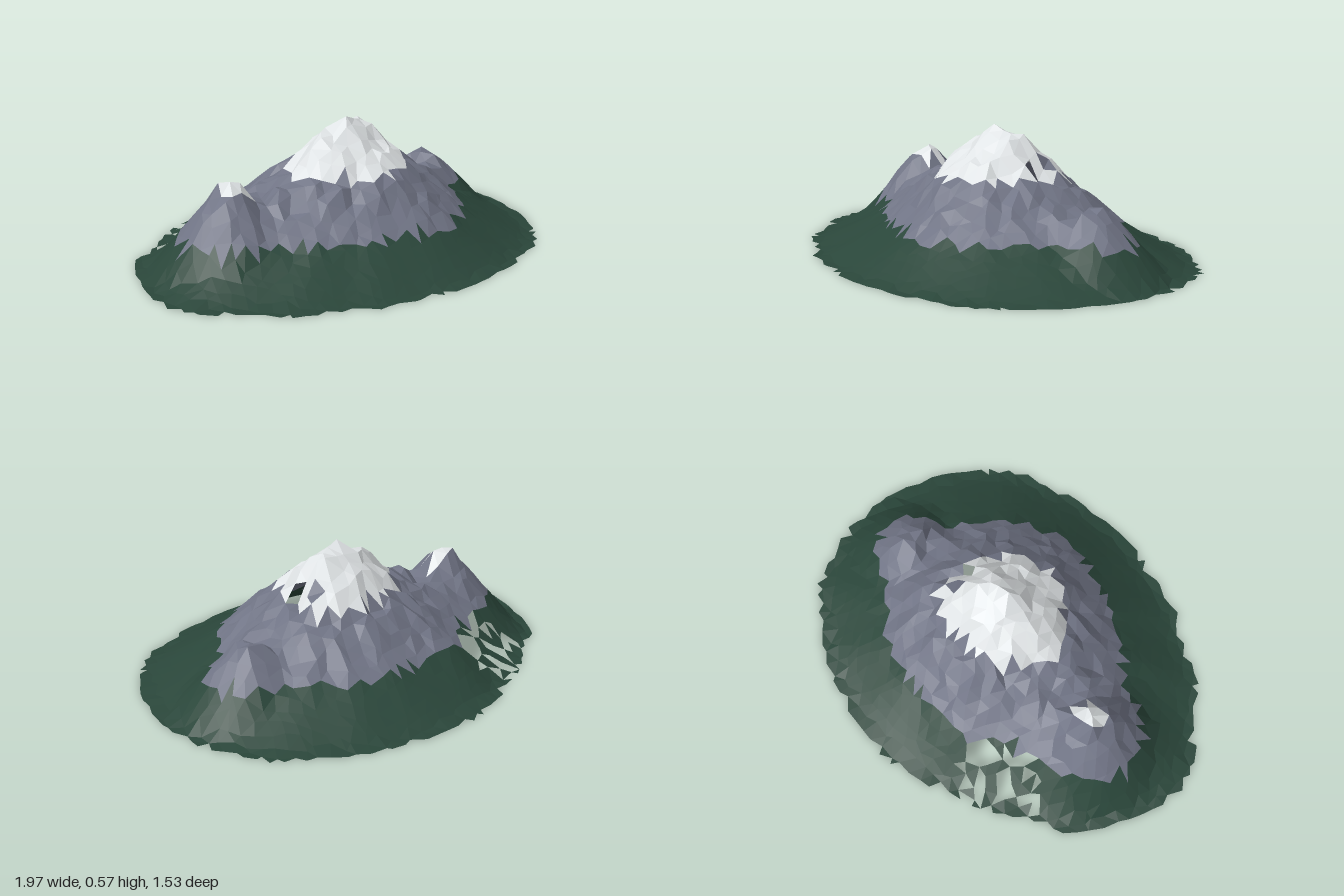
import * as THREE from 'three';

// Contour radii around the summit axis, 16 directions from +x turning toward +z
const CX = 0.1;
const BASE = [0.88, 0.86, 0.83, 0.77, 0.75, 0.75, 0.81, 0.93, 1.07, 0.99, 0.83, 0.76, 0.76, 0.765, 0.81, 0.87];
const TREE = [0.67, 0.52, 0.5, 0.49, 0.49, 0.48, 0.5, 0.58, 0.77, 0.76, 0.56, 0.55, 0.48, 0.49, 0.51, 0.55];
const SNOW = [0.28, 0.26, 0.24, 0.26, 0.27, 0.27, 0.27, 0.31, 0.33, 0.29, 0.26, 0.25, 0.23, 0.25, 0.25, 0.26];
const TREE_Y = 0.15, SNOW_Y = 0.357, TOP_Y = 0.572;
const TOE = 0.03;

// Repeatable random numbers
function makeRandom(seed) {
  return () => {
    seed = (seed * 1664525 + 1013904223) >>> 0;
    return seed / 4294967296;
  };
}

// Smooth lookup of a contour radius by angle
function radiusAt(table, angle) {
  const n = table.length;
  const a = ((angle / (Math.PI * 2)) * n + n) % n;
  const i = Math.floor(a) % n;
  const f = a - Math.floor(a);
  return THREE.MathUtils.lerp(table[i], table[(i + 1) % n], f * f * (3 - 2 * f));
}

const bump = (x, z, cx, cz, size) => Math.exp(-((x - cx) ** 2 + (z - cz) ** 2) / (size * size));
const near = (x, z, cx, cz, radius) => Math.hypot(x - cx, z - cz) < radius;

// Height of the terrain
function heightAt(x, z) {
  const angle = Math.atan2(z, x - CX);
  const r = Math.hypot(x - CX, z);
  const r0 = radiusAt(BASE, angle) - TOE, r1 = radiusAt(TREE, angle), r2 = radiusAt(SNOW, angle);
  let y;
  if (r >= r0) return 0;
  if (r > r1) y = TREE_Y * Math.pow((r0 - r) / (r0 - r1), 1.15);
  else if (r > r2) y = THREE.MathUtils.mapLinear(r, r2, r1, SNOW_Y, TREE_Y);
  else {
    // The summit is a ridge along x, steeper toward the front
    const side = Math.sin(angle);
    const power = 1.5 - 0.7 * Math.max(0, side) - 0.3 * Math.max(0, -side);
    y = THREE.MathUtils.mapLinear(Math.pow(r / r2, power), 0, 1, TOP_Y, SNOW_Y);
  }
  // Side peaks, shoulder, saddle and dent
  y = Math.max(y, Math.min(0.4, 0.425 - 1.2 * Math.hypot(x + 0.53, z + 0.1)));
  y = Math.max(y, Math.min(0.288, 0.33 - Math.hypot(x - 0.62, z + 0.01)));
  y += 0.02 * bump(x, z, 0.1, 0.18, 0.06);
  y -= 0.05 * bump(x, z, 0.49, 0, 0.08);
  y -= 0.08 * bump(x, z, 0.31, 0, 0.05);
  // Ridges and gullies on the upper slopes
  const rocky = THREE.MathUtils.smoothstep(y, 0.1, 0.25) * THREE.MathUtils.smoothstep(r, 0.08, 0.25);
  return Math.max(0, y + 0.008 * rocky * Math.sin(angle * 17 + r * 9));
}

export function createModel() {
  const forestGreen = new THREE.MeshStandardMaterial({ color: 0x2a463a, flatShading: true, side: THREE.DoubleSide });
  const rockGrey = new THREE.MeshStandardMaterial({ color: 0x707485, flatShading: true, side: THREE.DoubleSide });
  const snowWhite = new THREE.MeshStandardMaterial({ color: 0xdfe3e5, flatShading: true, side: THREE.DoubleSide });

  // Jittered, staggered grid of terrain points
  const random = makeRandom(11);
  const step = 0.057, rowStep = step * 0.87;
  const cols = 40, rows = 36;
  const points = [];
  for (let j = 0; j <= rows; j++) {
    const row = [];
    for (let i = 0; i <= cols; i++) {
      let x = (i - cols / 2 + (j % 2 ? 0.25 : -0.25) + (random() - 0.5) * 0.6) * step;
      let z = (j - rows / 2 + (random() - 0.5) * 0.6) * rowStep;
      // Draw points beyond the rim closer to it, for a short ragged edge
      const r = Math.hypot(x - CX, z), rim = radiusAt(BASE, Math.atan2(z, x - CX));
      if (r > rim) {
        const pull = (rim + (r - rim) * 0.45) / r;
        x = CX + (x - CX) * pull;
        z *= pull;
      }
      let y = heightAt(x, z);
      y = Math.max(0, y + (random() - 0.5) * 0.036 * THREE.MathUtils.smoothstep(y, 0.08, 0.32));
      row.push(new THREE.Vector3(x, y, z));
    }
    points.push(row);
  }

  // Sort the triangles into forest, rock and snow
  const forest = [], rock = [], snow = [];
  const addTriangle = (a, b, c) => {
    const x = (a.x + b.x + c.x) / 3, y = (a.y + b.y + c.y) / 3, z = (a.z + b.z + c.z) / 3;
    if (Math.hypot(x - CX, z) > radiusAt(BASE, Math.atan2(z, x - CX))) return;
    // Broken patch on the back slope and a small opening under the summit
    if (near(x, z, -0.38, -0.51, 0.2) && y < TREE_Y && random() < 0.55) return;
    if (near(x, z, 0.31, 0.025, 0.035)) return;
    // Snow also lies on the smaller left-hand peak, and rock shows beside the opening
    const capped = near(x, z, -0.51, -0.1, 0.065);
    const bare = near(x, z, 0.29, -0.07, 0.035);
    let target = forest;
    if (capped || (y > SNOW_Y && !bare)) target = snow;
    else if (y > TREE_Y + 0.003) target = rock;
    for (const p of [a, b, c]) target.push(p.x, p.y, p.z);
  };
  for (let j = 0; j < rows; j++) {
    for (let i = 0; i < cols; i++) {
      const a = points[j][i], b = points[j][i + 1];
      const c = points[j + 1][i], d = points[j + 1][i + 1];
      if (j % 2) {
        addTriangle(a, d, b);
        addTriangle(a, c, d);
      } else {
        addTriangle(a, c, b);
        addTriangle(b, c, d);
      }
    }
  }

  const group = new THREE.Group();
  group.name = 'mountain';
  const addPart = (name, positions, material) => {
    const geometry = new THREE.BufferGeometry();
    geometry.setAttribute('position', new THREE.Float32BufferAttribute(positions, 3));
    geometry.computeVertexNormals();
    const mesh = new THREE.Mesh(geometry, material);
    mesh.name = name;
    group.add(mesh);
  };
  addPart('forestSlopes', forest, forestGreen);
  addPart('rockFaces', rock, rockGrey);
  addPart('snowCaps', snow, snowWhite);
  return group;
}
